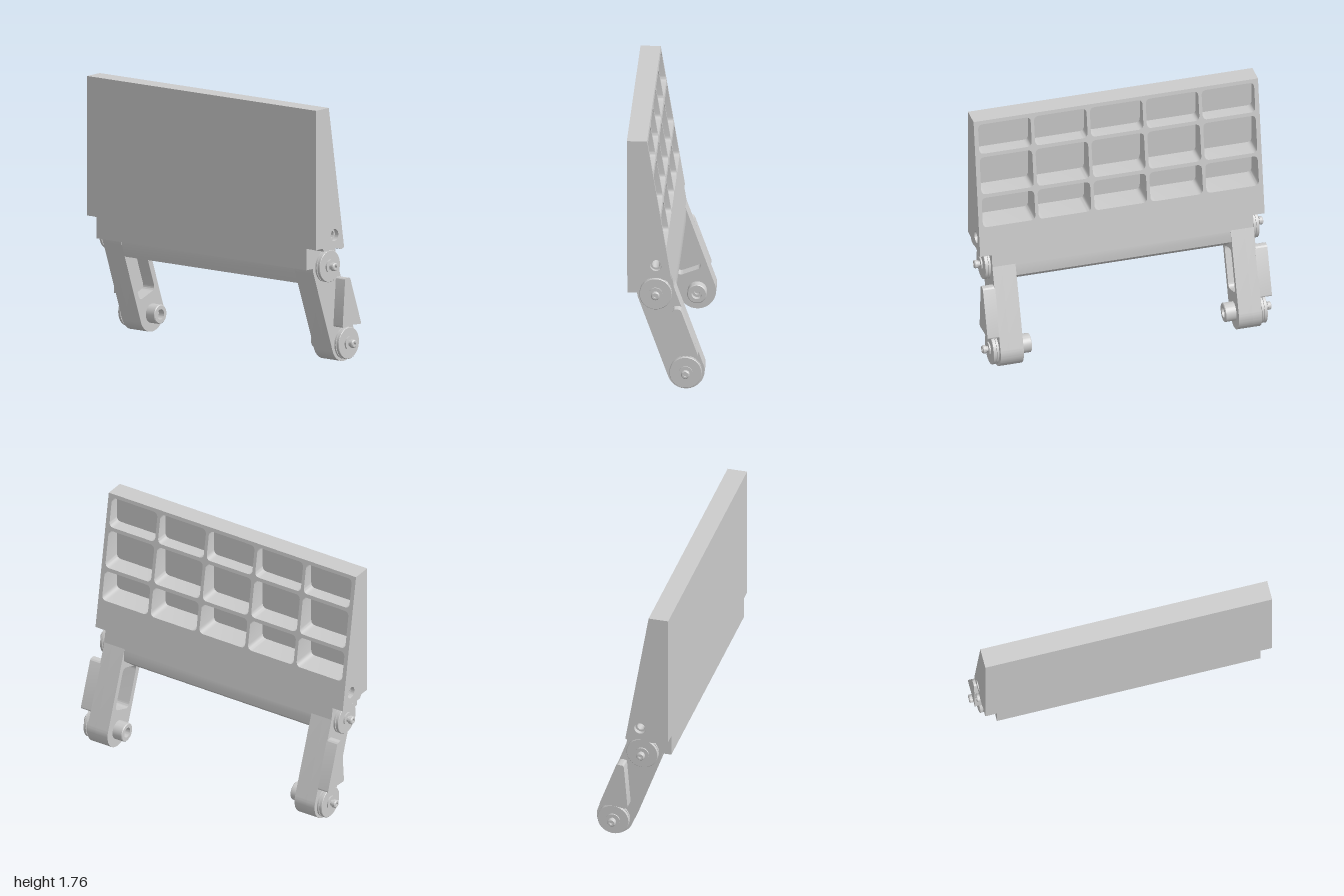
import * as THREE from 'three';
import { toCreasedNormals } from 'three/addons/utils/BufferGeometryUtils.js';

const material = new THREE.MeshStandardMaterial({ color: 0xcccccc });
const slope = (y) => -0.125 + (1.76 - y) * 0.167; // front face of the panel
const UPPER = [-0.07, 0.675], LOWER = [0.13, 0.125], R = 0.125;

function add(parent, name, geometry) {
  const mesh = new THREE.Mesh(toCreasedNormals(geometry, 0.6), material);
  mesh.name = name;
  parent.add(mesh);
  return mesh;
}

const polygon = (pts) => new THREE.Shape(pts.map(([x, y]) => new THREE.Vector2(x, y)));

function circle(x, y, r) {
  return new THREE.Path().absarc(x, y, r, 0, Math.PI * 2, true);
}

// closed outline with every corner rounded off
function rounded(pts, r) {
  const v = pts.map(([x, y]) => new THREE.Vector2(x, y));
  const shape = new THREE.Shape();
  v.forEach((p, i) => {
    const a = v[(i + v.length - 1) % v.length], b = v[(i + 1) % v.length];
    const start = p.clone().add(a.clone().sub(p).setLength(r));
    const end = p.clone().add(b.clone().sub(p).setLength(r));
    if (i === 0) shape.moveTo(start.x, start.y);
    else shape.lineTo(start.x, start.y);
    shape.quadraticCurveTo(p.x, p.y, end.x, end.y);
  });
  shape.closePath();
  return shape;
}

// side profile (x, y) extruded between two z positions
function extrude(parent, name, shape, za, zb, holes = []) {
  const s = shape.clone();
  s.holes = holes;
  const geo = new THREE.ExtrudeGeometry(s, { depth: Math.abs(zb - za), bevelEnabled: false, curveSegments: 24 });
  geo.translate(0, 0, Math.min(za, zb));
  return add(parent, name, geo);
}

// turned part: profile of [radius, distance] running outwards along z
function turned(parent, name, profile, [x, y], z, side) {
  const geo = new THREE.LatheGeometry(profile.map(([r, h]) => new THREE.Vector2(r, h)), 40);
  geo.rotateX(side * Math.PI / 2);
  geo.translate(x, y, side * z);
  return add(parent, name, geo);
}

function buildPanel() {
  const panel = new THREE.Group();
  panel.name = 'panel';

  // back sheet
  const back = new THREE.BoxGeometry(0.08, 0.79, 1.97);
  back.translate(-0.22, 1.365, 0);
  add(panel, 'backSheet', back);

  // ribbed front with 5 x 3 rounded pockets, its front moved onto the slope
  const ribs = polygon([[-0.985, 0.97], [0.985, 0.97], [0.985, 1.76], [-0.985, 1.76]]);
  for (let c = -2; c <= 2; c++) {
    for (const [y0, y1] of [[1.0, 1.21], [1.235, 1.5], [1.525, 1.735]]) {
      const z0 = c * 0.387 - 0.182, z1 = c * 0.387 + 0.182;
      ribs.holes.push(rounded([[z0, y0], [z0, y1], [z1, y1], [z1, y0]], 0.035));
    }
  }
  const geo = new THREE.ExtrudeGeometry(ribs, { depth: 1, bevelEnabled: false, curveSegments: 6 });
  geo.rotateY(Math.PI / 2);
  const p = geo.attributes.position;
  for (let i = 0; i < p.count; i++) p.setX(i, p.getX(i) < 0.5 ? -0.18 : slope(p.getY(i)));
  add(panel, 'pocketGrid', geo);

  // solid band with a through bore, counterbored at both ends
  const band = polygon([[-0.26, 0.97], [-0.26, 0.815], [-0.19, 0.815], [-0.175, 0.793], [-0.13, 0.79],
    [-0.1, 0.8], [-0.07, 0.803], [-0.04, 0.8], [-0.005, 0.787], [0.015, 0.785], [slope(0.795), 0.795],
    [slope(0.97), 0.97]]);
  extrude(panel, 'boredBand', band, -0.955, 0.955, [circle(-0.065, 0.89, 0.027)]);
  for (const s of [1, -1]) {
    extrude(panel, 'boreEnd', band, s * 0.955, s * 0.985, [circle(-0.065, 0.89, 0.04)]);
  }

  // narrower lower edge and the beam joining the legs
  extrude(panel, 'lowerEdge', polygon([[-0.26, 0.815], [-0.26, 0.67], [-0.1, 0.67], [slope(0.7), 0.7],
    [slope(0.795), 0.795], [0.015, 0.785], [-0.07, 0.803], [-0.175, 0.793], [-0.19, 0.815]]), -0.905, 0.905);
  extrude(panel, 'crossBeam', polygon([[-0.187, 0.68], [-0.187, 0.632], [-0.157, 0.55], [-0.03, 0.55],
    [0.055, 0.62], [0.056, 0.675], [slope(0.71), 0.71]]), -0.76, 0.76);
  return panel;
}

function buildLeg(s) {
  const leg = new THREE.Group();
  leg.name = s > 0 ? 'leftLeg' : 'rightLeg';

  // round-ended arm, hollowed from the inside
  const tilt = Math.atan2(UPPER[1] - LOWER[1], UPPER[0] - LOWER[0]) - Math.PI / 2;
  const arm = new THREE.Shape();
  arm.absarc(...UPPER, R, tilt, tilt + Math.PI, false);
  arm.absarc(...LOWER, R, tilt + Math.PI, tilt + Math.PI * 2, false);
  arm.closePath();
  const along = (u, w) => [
    LOWER[0] - Math.sin(tilt) * u + Math.cos(tilt) * w,
    LOWER[1] + Math.cos(tilt) * u + Math.sin(tilt) * w];
  const pocket = rounded([along(0.14, -0.085), along(0.14, 0.085), along(0.44, 0.085), along(0.44, -0.085)], 0.035);
  extrude(leg, 'armOuterWall', arm, s * 0.84, s * 0.905);
  extrude(leg, 'armRim', arm, s * 0.745, s * 0.84, [pocket]);

  // raised pad on the outer face
  extrude(leg, 'outerPad', rounded([[0.02, 0.245], [0.08, 0.25], [0.13, 0.255], [0.18, 0.25], [0.218, 0.248],
    [0.098, 0.58], [0.047, 0.58]], 0.018), s * 0.9, s * 0.985);

  // grooved rollers, pins and retaining clips on both pivots
  for (const pivot of [UPPER, LOWER]) {
    turned(leg, 'roller', [[0.09, 0], [0.09, 0.008], [0.108, 0.008], [0.108, 0.02], [0.098, 0.02], [0.098, 0.026],
      [0.108, 0.026], [0.108, 0.043], [0.105, 0.046], [0, 0.046]], pivot, 0.904, s);
    turned(leg, 'pin', [[0.02, 0], [0.02, 0.025], [0.028, 0.025], [0.028, 0.044], [0.022, 0.05],
      [0.012, 0.05], [0.012, 0.035], [0, 0.035]], pivot, 0.95, s);
    const ring = new THREE.Shape();
    ring.absarc(0, 0, 0.046, -0.4, 4.0, false);
    ring.absarc(0, 0, 0.02, 4.0, -0.4, true);
    extrude(leg, 'retainingClip', ring, s * 0.95, s * 0.96).position.set(pivot[0], pivot[1], 0);
  }

  // hollow boss on the inner face
  turned(leg, 'innerBoss', [[0.065, 0], [0.065, 0.07], [0.06, 0.075], [0.035, 0.075], [0.035, 0.03], [0.018, 0.03],
    [0.018, 0.005], [0, 0.005]], LOWER, -0.745, -s);
  return leg;
}

export function createModel() {
  const model = new THREE.Group();
  model.name = 'hingedPanel';
  model.add(buildPanel(), buildLeg(1), buildLeg(-1));
  return model;
}
